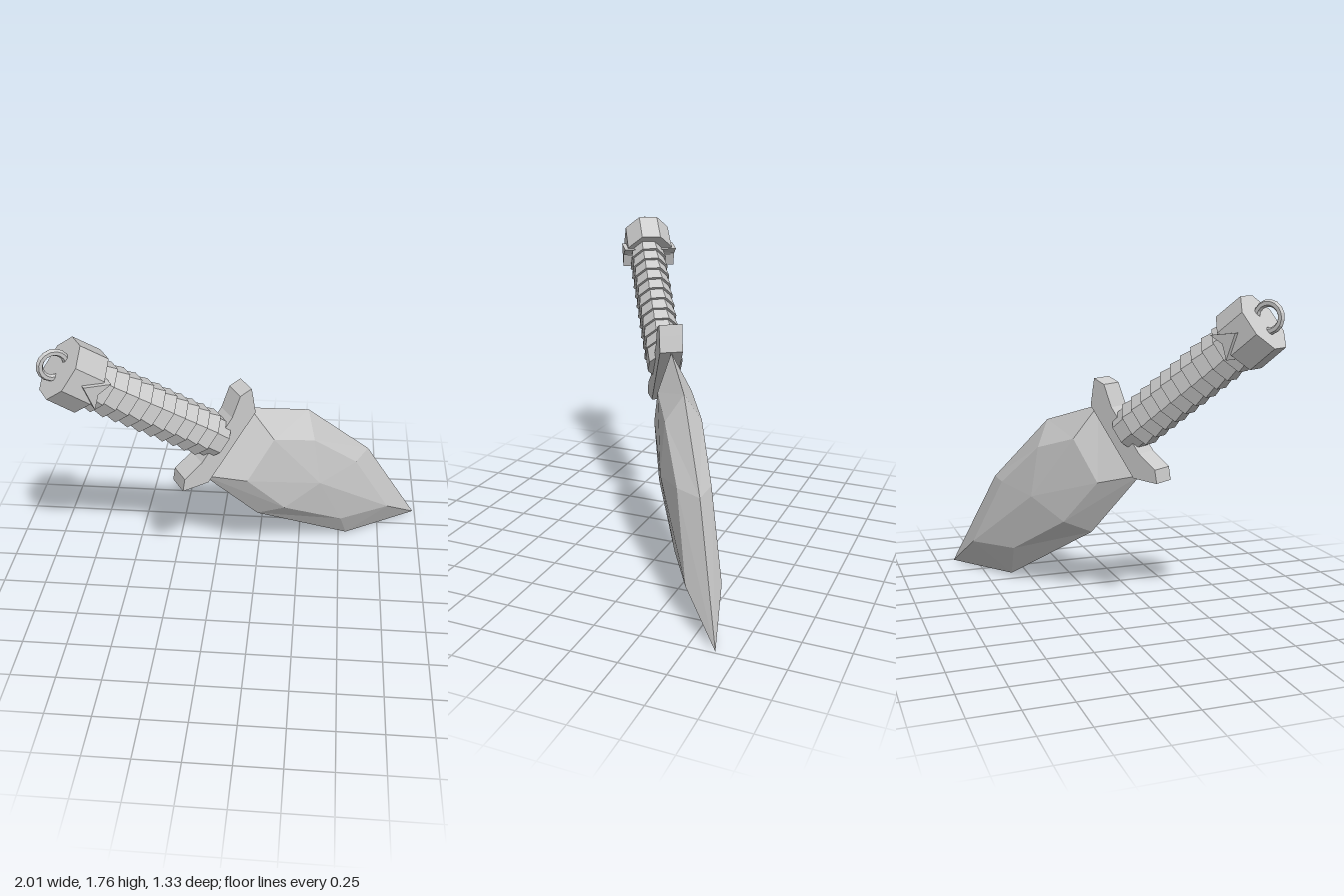
import * as THREE from 'three';

const mat = new THREE.MeshStandardMaterial({ color: 0xcccccc, flatShading: true });

function add(parent, name, geometry) {
  const mesh = new THREE.Mesh(geometry, mat);
  mesh.name = name;
  parent.add(mesh);
  return mesh;
}

// Flat outline extruded evenly to both sides of z = 0
function plate(points, thickness) {
  const shape = new THREE.Shape(points.map(([x, y]) => new THREE.Vector2(x, y)));
  return new THREE.ExtrudeGeometry(shape, { depth: thickness, bevelEnabled: false })
    .translate(0, 0, -thickness / 2);
}

// Eight-sided tapered section along x, squashed in z
function octagon(x0, x1, r0, r1, squash) {
  return new THREE.CylinderGeometry(r1, r0, x1 - x0, 8)
    .rotateY(Math.PI / 8)
    .rotateZ(-Math.PI / 2)
    .scale(1, 1, squash)
    .translate((x0 + x1) / 2, 0, 0);
}

// Faceted blade: sharp outline, raised inner loop and a peak on each face
function bladeGeometry() {
  const edge = [[0, -0.232], [0.503, -0.314], [1.24, -0.208], [1.661, 0.104],
    [0.963, 0.339], [0.373, 0.377], [0, 0.232]].map(([x, y]) => [x, y, 0]);
  const ridge = [[0.215, -0.135, 0.088], [0.564, -0.189, 0.1], [1.035, -0.117, 0.085],
    [1.315, 0.083, 0.092], [0.85, 0.248, 0.09], [0.456, 0.252, 0.1], [0.201, 0.149, 0.095]];
  const peak = [0.661, 0.044, 0.13];
  const out = [];
  const tri = (a, b, c) => {
    out.push(...a, ...b, ...c);
    for (const p of [a, c, b]) out.push(p[0], p[1], -p[2]); // mirrored face
  };
  edge.forEach((e, i) => {
    const j = (i + 1) % edge.length;
    tri(e, edge[j], ridge[j]);
    tri(e, ridge[j], ridge[i]);
    tri(ridge[i], ridge[j], peak);
  });
  const g = new THREE.BufferGeometry();
  g.setAttribute('position', new THREE.Float32BufferAttribute(out, 3));
  g.computeVertexNormals();
  return g;
}

export function createModel() {
  const model = new THREE.Group();
  model.name = 'dagger';

  // Local frame: x runs to the tip, y across the blade, z through its thickness
  const dagger = new THREE.Group();
  dagger.name = 'daggerBody';
  dagger.rotation.set(0, 0.569, -0.677, 'YXZ');
  dagger.position.set(-0.158, 0.97, 0.092);
  model.add(dagger);

  add(dagger, 'blade', bladeGeometry());

  // Crossguard with ends swept back towards the grip
  const half = [[0, 0.236], [-0.07, 0.3], [-0.115, 0.34], [-0.15, 0.275], [-0.115, 0.15]];
  const lower = half.map(([x, y]) => [x, -y]).reverse();
  add(dagger, 'crossguard', plate([...half, ...lower], 0.13));

  // Grip of overlapping tapered bands
  const grip = new THREE.Group();
  grip.name = 'grip';
  dagger.add(grip);
  add(grip, 'gripCollar', octagon(-0.19, -0.075, 0.122, 0.122, 0.86));
  const bands = 10, start = -0.95, pitch = 0.078;
  for (let i = 0; i < bands; i++) {
    const x = start + i * pitch;
    const band = add(grip, 'gripBand', octagon(x, x + pitch, 0.122, 0.14, 0.82));
    band.position.y = -0.015 * (1 - i / bands);
  }

  // Pommel with a wedge on both faces and a ring at the end
  const pommel = new THREE.Group();
  pommel.name = 'pommel';
  pommel.position.set(0, -0.02, -0.015);
  dagger.add(pommel);
  add(pommel, 'pommelCap', octagon(-1.115, -0.945, 0.168, 0.172, 0.86));
  add(pommel, 'pommelWedges', plate([[-1.04, 0], [-0.92, -0.075], [-0.95, 0], [-0.92, 0.075]], 0.32));
  add(pommel, 'pommelRing', new THREE.TorusGeometry(0.067, 0.018, 6, 16)).position.x = -1.152;

  return model;
}
